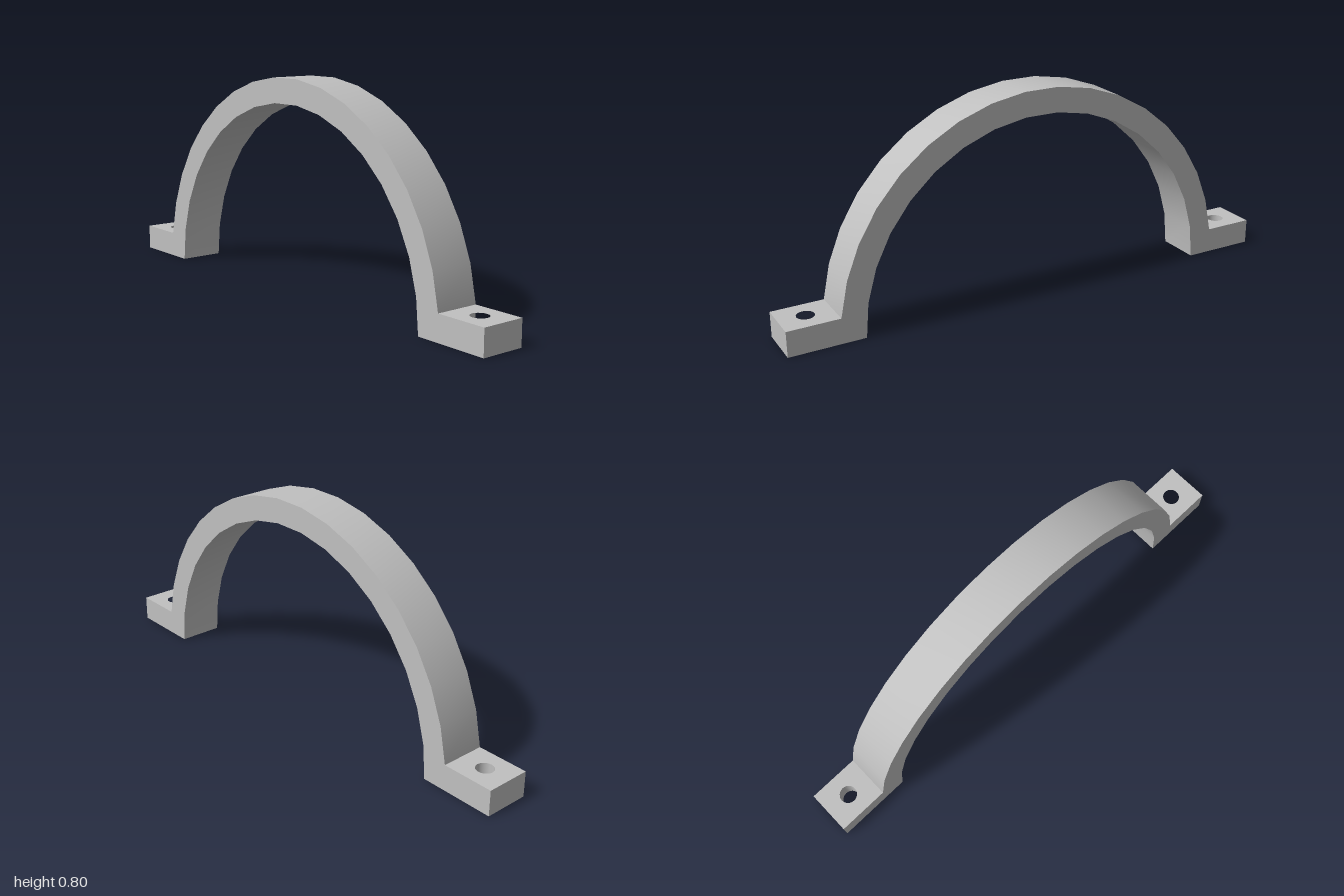
import * as THREE from 'three';
import { toCreasedNormals } from 'three/addons/utils/BufferGeometryUtils.js';

const WIDTH = 0.174, FOOT_H = 0.098, OUTER_R = 0.807, INNER_R = 0.712;
const FOOT_Z = 0.8, HOLE_Z = 0.9, HOLE_R = 0.033, SEGMENTS = 17;

// Points along an arc, from one angle to another
function arc(radius, from, to) {
  return Array.from({ length: SEGMENTS + 1 }, (_, i) => {
    const a = from + (to - from) * i / SEGMENTS;
    return new THREE.Vector2(radius * Math.cos(a), radius * Math.sin(a));
  });
}

// Half-round strap, drawn from the side and extruded across its width
function archGeometry() {
  const start = Math.asin(FOOT_H / OUTER_R);
  const shape = new THREE.Shape([
    new THREE.Vector2(FOOT_Z, 0),
    ...arc(OUTER_R, start, Math.PI - start),
    new THREE.Vector2(-FOOT_Z, 0),
    ...arc(INNER_R, Math.PI, 0),
  ]);
  const geo = new THREE.ExtrudeGeometry(shape, { depth: WIDTH, bevelEnabled: false });
  geo.translate(0, 0, -WIDTH / 2).rotateY(-Math.PI / 2);
  return toCreasedNormals(geo, 0.5);
}

// Flat mounting foot with a vertical screw hole
function footGeometry(side) {
  const w = WIDTH / 2, near = side * FOOT_Z, far = side;
  const shape = new THREE.Shape([
    new THREE.Vector2(-w, near), new THREE.Vector2(w, near),
    new THREE.Vector2(w, far), new THREE.Vector2(-w, far),
  ]);
  const hole = new THREE.Path();
  hole.absarc(0, side * HOLE_Z, HOLE_R, 0, Math.PI * 2, true);
  shape.holes.push(hole);
  const geo = new THREE.ExtrudeGeometry(shape, { depth: FOOT_H, bevelEnabled: false, curveSegments: 16 });
  geo.rotateX(-Math.PI / 2);
  return toCreasedNormals(geo, 0.5);
}

export function createModel() {
  const group = new THREE.Group();
  group.name = 'strapClamp';
  const grey = new THREE.MeshStandardMaterial({ color: 0xc0c0c0 });
  grey.name = 'grey';

  const add = (name, geo) => {
    const mesh = new THREE.Mesh(geo, grey);
    mesh.name = name;
    group.add(mesh);
  };
  add('arch', archGeometry());
  add('frontFoot', footGeometry(-1)); // shape y becomes -z
  add('backFoot', footGeometry(1));
  return group;
}
